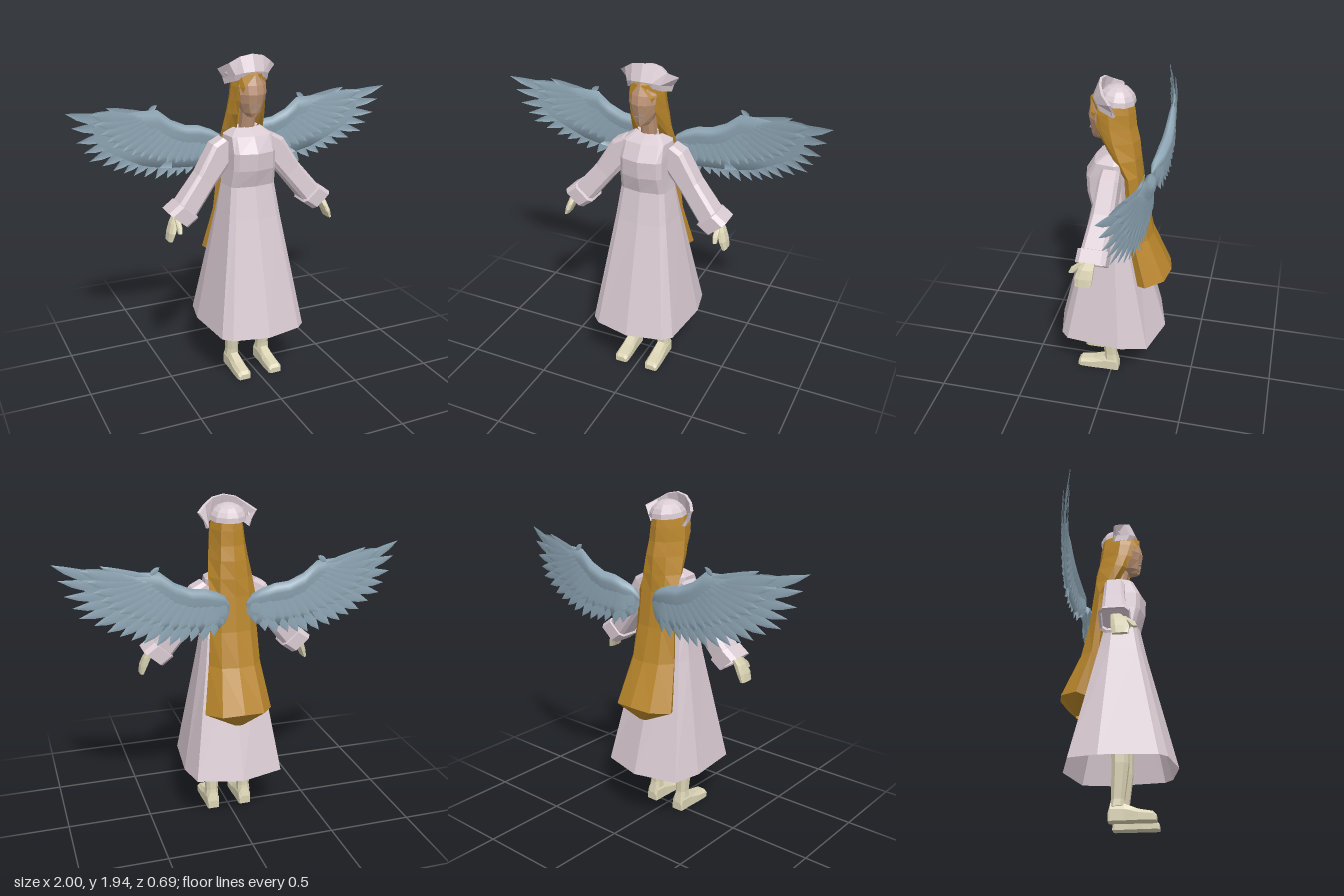
import * as THREE from 'three';

const mat = (name, color) => {
  const m = new THREE.MeshStandardMaterial({ color, side: THREE.DoubleSide });
  m.name = name;
  return m;
};

// Skin a list of equal-length rings of [x, y, z]; options close the ring, cap the ends, smooth the normals
function loft(name, material, rings, { closed = true, caps = true, smooth = false } = {}) {
  const n = rings[0].length, pos = rings.flat(2), idx = [];
  for (let i = 0; i < rings.length - 1; i++)
    for (let j = 0; j < (closed ? n : n - 1); j++) {
      const k = (j + 1) % n, a = i * n, b = a + n;
      idx.push(a + j, a + k, b + k, a + j, b + k, b + j);
    }
  if (caps) {
    [0, rings.length - 1].forEach((r) => {
      const c = pos.length / 3;
      for (let d = 0; d < 3; d++) pos.push(rings[r].reduce((s, p) => s + p[d], 0) / n);
      for (let j = 0; j < n; j++) {
        const a = r * n + j, b = r * n + (j + 1) % n;
        idx.push(c, r ? a : b, r ? b : a);
      }
    });
  }
  let g = new THREE.BufferGeometry();
  g.setAttribute('position', new THREE.Float32BufferAttribute(pos, 3));
  g.setIndex(idx);
  if (!smooth) g = g.toNonIndexed();
  g.computeVertexNormals();
  const mesh = new THREE.Mesh(g, material);
  mesh.name = name;
  return mesh;
}

// Horizontal rectangle ring with chopped corners
const slab = (y, x0, x1, z0, z1, c = 0.25) => {
  const dx = (x1 - x0) * c, dz = (z1 - z0) * c;
  return [[x0 + dx, y, z1], [x1 - dx, y, z1], [x1, y, z1 - dz], [x1, y, z0 + dz],
    [x1 - dx, y, z0], [x0 + dx, y, z0], [x0, y, z0 + dz], [x0, y, z1 - dz]];
};

// Ring across the slanted arm: centre, half width in x-y, depth range in z
const armRing = (x, y, h, z0, z1) => {
  const zm = (z0 + z1) / 2, q = (z1 - z0) / 2;
  return [[1, 0.7], [0.7, 1], [-0.7, 1], [-1, 0.7], [-1, -0.7], [-0.7, -1], [0.7, -1], [1, -0.7]]
    .map(([u, v]) => [x + 0.75 * h * u, y + 0.66 * h * u, zm + q * v]);
};

// Depth of the wing's curved surface at a given x
const WING_Z = [[0.05, -0.2], [0.15, -0.235], [0.3, -0.243], [0.5, -0.243], [0.7, -0.215], [0.85, -0.18], [1, -0.13]];
function wingZ(x) {
  let i = 0;
  while (i < WING_Z.length - 2 && x > WING_Z[i + 1][0]) i++;
  const [a, b] = [WING_Z[i], WING_Z[i + 1]];
  return a[1] + (b[1] - a[1]) * (x - a[0]) / (b[0] - a[0]);
}

// Leaf-shaped feather from base to tip, bent to the wing surface
function feather(name, material, base, tip, width, sag, off) {
  const A = new THREE.Vector2(...base), B = new THREE.Vector2(...tip);
  const mid = A.clone().lerp(B, 0.5);
  mid.y -= sag;
  const curve = new THREE.QuadraticBezierCurve(A, mid, B);
  const rings = [0.4, 0.75, 1, 1, 0.9, 0.6, 0.02].map((w, i) => {
    const p = curve.getPoint(i / 6), t = curve.getTangent(i / 6);
    return [-1, 0, 1].map((s) => {
      const x = p.x - t.y * s * w * width, y = p.y + t.x * s * w * width;
      return [x, y, wingZ(x) + off + (s ? 0 : 0.004 * Math.sign(off || -1))];
    });
  });
  return loft(name, material, rings, { closed: false, caps: false, smooth: true });
}

function makeWing(material) {
  const g = new THREE.Group();
  // Padded wing body: x, top, bottom, half thickness
  const body = [[0.05, 1.38, 1.32, 0.006], [0.08, 1.43, 1.27, 0.022], [0.13, 1.46, 1.24, 0.032], [0.2, 1.487, 1.235, 0.036],
    [0.28, 1.495, 1.24, 0.036], [0.37, 1.535, 1.245, 0.032], [0.45, 1.6, 1.255, 0.024], [0.55, 1.603, 1.28, 0.015],
    [0.65, 1.6, 1.33, 0.01], [0.75, 1.585, 1.39, 0.006], [0.84, 1.57, 1.47, 0.003]];
  g.add(loft('wingBody', material, body.map(([x, t, b, d]) =>
    [[0, 0], [0.08, 0.75], [0.2, 1], [0.4, 0.45], [0.75, 0.15], [1, 0], [0.75, -0.15], [0.4, -0.45], [0.2, -1], [0.08, -0.75]]
      .map(([v, s]) => [x, t + (b - t) * v, wingZ(x) + s * d])), { smooth: true }));
  // Flight feathers fan around the trailing edge, with a shorter covert layer on both faces
  const tips = [[1, 1.65], [0.97, 1.565], [0.945, 1.48], [0.905, 1.415], [0.875, 1.36], [0.8, 1.32], [0.735, 1.28], [0.67, 1.255],
    [0.61, 1.23], [0.545, 1.21], [0.475, 1.19], [0.405, 1.185], [0.345, 1.19], [0.285, 1.195], [0.215, 1.19], [0.15, 1.21], [0.1, 1.26]];
  tips.forEach((tip, i) => {
    const k = i / (tips.length - 1);
    const base = [0.58 - 0.48 * k, 1.57 - 0.17 * k];
    g.add(feather('flightFeather', material, base, tip, i < 5 ? 0.034 : 0.038, 0.05 * (1 - k), 0));
    const short = [base[0] + (tip[0] - base[0]) * 0.66, base[1] + (tip[1] - base[1]) * 0.66];
    [-0.014, 0.014].forEach((off) => g.add(feather('covertFeather', material, base, short, 0.034, 0.02, off)));
  });
  g.add(feather('upperFeather', material, [0.5, 1.58], [0.757, 1.645], 0.025, 0.03, -0.006));
  g.add(feather('wristFeather', material, [0.5, 1.59], [0.45, 1.627], 0.015, 0, -0.006));
  return g;
}

export function createModel() {
  const model = new THREE.Group();
  const cloth = mat('pale lilac cloth', 0xd9cad2);
  const hairMat = mat('golden brown hair', 0xb9862b);
  const faceMat = mat('tan face', 0xbd9375);
  const skin = mat('cream skin', 0xdad3b4);
  const wingMat = mat('blue grey feathers', 0x8fa7b6);
  const lip = mat('slate lips', 0x858a9a);

  // Dress, open at the hem: y, half width, front z, back z
  const dress = [[0.32, 0.295, 0.34, -0.32], [1.0, 0.18, 0.172, -0.13], [1.19, 0.152, 0.132, -0.08], [1.29, 0.145, 0.163, -0.08],
    [1.39, 0.142, 0.168, -0.075], [1.48, 0.138, 0.115, -0.065], [1.52, 0.085, 0.045, -0.045], [1.5, 0.03, 0.03, -0.02]];
  model.add(loft('dress', cloth, dress.map(([y, w, f, b]) => {
    const half = [[0.72 * w, 0.86 * f], [0.89 * w, 0.72 * f], [w, 0.25 * b], [0.88 * w, 0.78 * b]];
    return [[0, y, f], ...half.map(([x, z]) => [x, y, z]), [0, y, b], ...half.reverse().map(([x, z]) => [-x, y, z])];
  }), { caps: false }));

  // Neck and face
  model.add(loft('neck', faceMat, [slab(1.48, -0.042, 0.042, -0.04, 0.04), slab(1.64, -0.038, 0.038, -0.02, 0.07)]));
  const face = [[1.59, 0.028, 0.07, 0.13], [1.615, 0.05, 0.04, 0.137], [1.67, 0.072, 0, 0.144], [1.72, 0.08, -0.02, 0.153],
    [1.77, 0.082, -0.04, 0.143], [1.83, 0.07, -0.04, 0.12]];
  model.add(loft('face', faceMat, face.map(([y, w, z0, z1]) => [[0, y, z1], [0.55 * w, y, z1 - 0.015], [w, y, z1 - 0.055],
    [0.9 * w, y, z0], [-0.9 * w, y, z0], [-w, y, z1 - 0.055], [-0.55 * w, y, z1 - 0.015]])));
  const mouth = new THREE.Mesh(new THREE.BoxGeometry(0.05, 0.005, 0.008), lip);
  mouth.name = 'mouth';
  mouth.position.set(0, 1.65, 0.138);
  model.add(mouth);

  // Long hair: y, front edge x and z, half width, side z, back z, lift of the back edge
  const hair = [[1.87, 0, 0.08, 0.05, 0, -0.06], [1.83, 0.008, 0.137, 0.085, 0.02, -0.1], [1.76, 0.06, 0.125, 0.1, 0.02, -0.112],
    [1.68, 0.076, 0.092, 0.108, 0.01, -0.12], [1.6, 0.074, 0.058, 0.118, -0.01, -0.14], [1.5, 0.06, 0, 0.13, -0.05, -0.15],
    [1.4, 0, -0.07, 0.135, -0.1, -0.155], [1.2, 0, -0.075, 0.14, -0.12, -0.18], [1, 0, -0.09, 0.155, -0.14, -0.23],
    [0.73, 0, -0.14, 0.2, -0.22, -0.345, 0.025], [0.65, 0, -0.23, 0.03, -0.24, -0.25]];
  model.add(loft('hair', hairMat, hair.map(([y, xf, zf, w, zm, zb, lift = 0]) => {
    const half = [[xf, y - lift, zf], [Math.max(0.85 * w, xf), y - lift / 2, (zf + zm) / 2 + 0.01], [w, y, zm],
      [0.62 * w, y + lift / 2, zm + (zb - zm) * 0.8]];
    return [...half, [0, y + lift, zb], ...half.reverse().map(([x, a, z]) => [-x, a, z])];
  }), { closed: false, caps: false }));

  // Cap: rounded crown and an upturned front band with flared ends
  const crown = new THREE.Mesh(new THREE.SphereGeometry(1, 10, 5, 0, Math.PI * 2, 0, Math.PI / 2).toNonIndexed(), cloth);
  crown.geometry.computeVertexNormals();
  crown.name = 'capCrown';
  crown.scale.set(0.108, 0.09, 0.105);
  crown.position.set(0, 1.815, -0.008);
  crown.rotation.x = -0.12;
  model.add(crown);
  const band = [[0, 1.845, 0.122, 0, 1.938, 0.085], [0.06, 1.84, 0.11, 0.07, 1.925, 0.075],
    [0.1, 1.825, 0.08, 0.125, 1.89, 0.05], [0.128, 1.8, 0.0, 0.175, 1.855, 0.0]];
  const bandSide = (s) => band.map(([a, b, c, d, e, f]) =>
    [[s * a, b - 0.035, c - 0.012], [s * a, b, c], [s * d, e, f], [s * d * 0.93, e - 0.004, f - 0.012], [s * a * 0.9, b - 0.03, c - 0.025]]);
  model.add(loft('capBand', cloth, [...bandSide(-1).reverse(), ...bandSide(1).slice(1)]));

  // Paired parts, built on the left (+x) and mirrored
  const left = new THREE.Group();
  left.name = 'leftSide';
  left.add(loft('sleeve', cloth, [armRing(0.1, 1.42, 0.075, -0.055, 0.05), armRing(0.16, 1.385, 0.078, -0.06, 0.055),
    armRing(0.27, 1.235, 0.062, -0.055, 0.07), armRing(0.4, 1.075, 0.064, -0.045, 0.1)]));
  left.add(loft('cuff', cloth, [armRing(0.385, 1.085, 0.06, -0.04, 0.1), armRing(0.39, 1.083, 0.073, -0.055, 0.115),
    armRing(0.455, 1.035, 0.073, -0.055, 0.115), armRing(0.45, 1.04, 0.06, -0.042, 0.102), armRing(0.415, 1.065, 0.055, -0.04, 0.1)]));
  left.add(loft('hand', skin, [slab(1.07, 0.425, 0.465, 0.01, 0.07), slab(1.02, 0.453, 0.497, 0.015, 0.1),
    slab(0.97, 0.473, 0.515, 0.018, 0.118), slab(0.922, 0.497, 0.522, 0.025, 0.115)]));
  left.add(loft('thumb', skin, [slab(1.045, 0.445, 0.475, 0.07, 0.1), slab(1.01, 0.45, 0.478, 0.1, 0.145), slab(0.98, 0.458, 0.48, 0.13, 0.16)]));
  left.add(loft('leg', skin, [slab(0.08, 0.065, 0.142, -0.035, 0.045), slab(0.12, 0.067, 0.138, -0.028, 0.045),
    slab(0.32, 0.058, 0.148, -0.025, 0.07), slab(0.9, 0.03, 0.14, -0.05, 0.07)]));
  // Foot sections run from heel to toe: z, top, half width
  left.add(loft('foot', skin, [[-0.045, 0.05, 0.034], [-0.032, 0.1, 0.038], [0.045, 0.095, 0.038], [0.12, 0.065, 0.042], [0.2, 0.05, 0.042], [0.217, 0.032, 0.034]]
    .map(([z, h, w]) => [[0.102 - w, 0, z], [0.102 + w, 0, z], [0.102 + w, h * 0.65, z], [0.102 + w * 0.6, h, z],
      [0.102 - w * 0.6, h, z], [0.102 - w, h * 0.65, z]])));
  const wing = makeWing(wingMat);
  wing.name = 'wing';
  left.add(wing);
  const right = left.clone();
  right.name = 'rightSide';
  right.scale.x = -1;
  model.add(left, right);
  return model;
}
